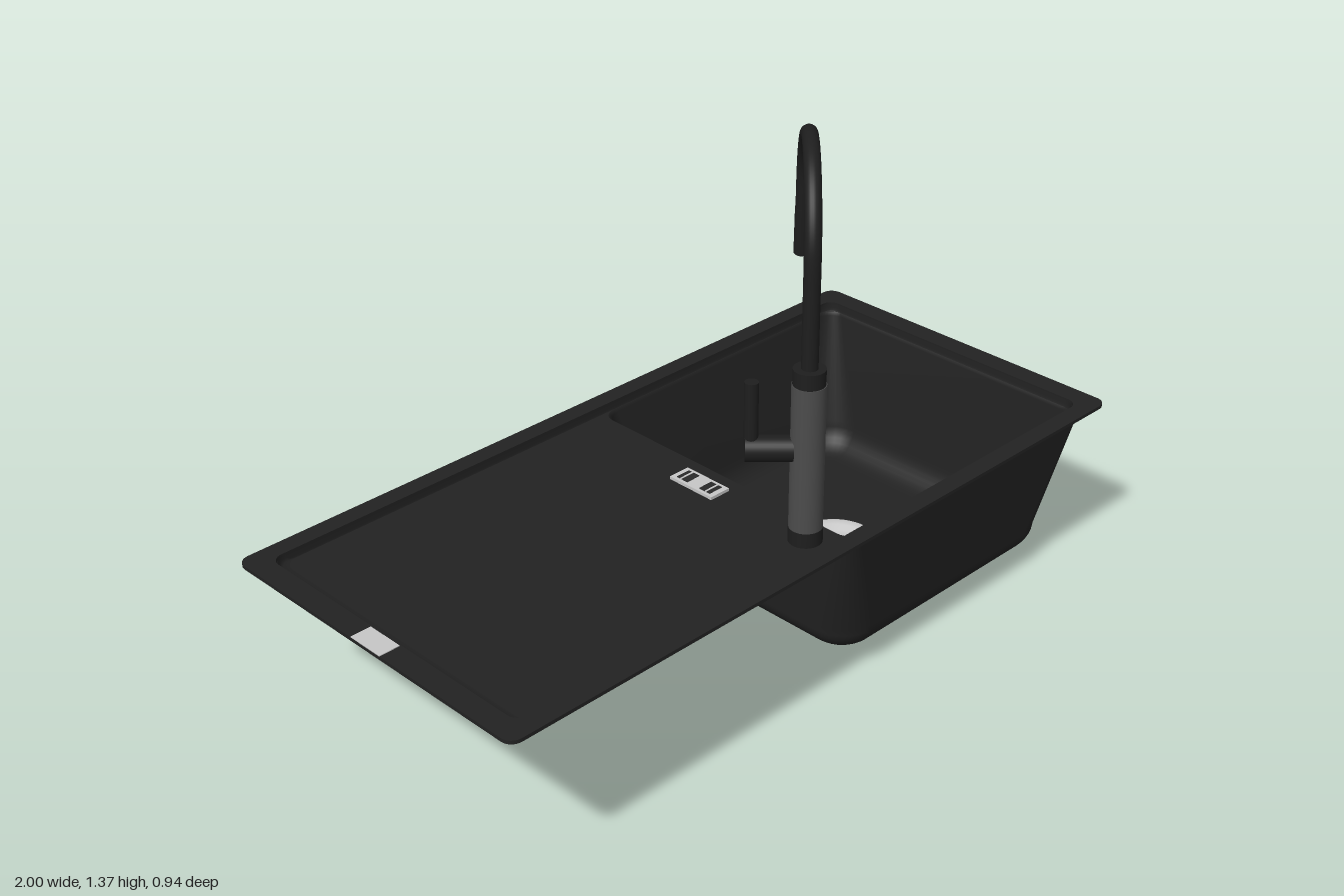
import * as THREE from 'three';

const mat = (name, color, side = THREE.FrontSide) => {
  const m = new THREE.MeshStandardMaterial({ color, side });
  m.name = name;
  return m;
};

// Points of a rounded rectangle in plan, as [x, z]
function ring(x0, x1, hz, r, n = 8) {
  const pts = [];
  const corners = [[x1 - r, hz - r], [x0 + r, hz - r], [x0 + r, -hz + r], [x1 - r, -hz + r]];
  corners.forEach(([cx, cz], q) => {
    for (let i = 0; i <= n; i++) {
      const a = (q + i / n) * Math.PI / 2;
      pts.push([cx + r * Math.cos(a), cz + r * Math.sin(a)]);
    }
  });
  return pts;
}

// Skin through rings listed from the top down; inward turns the faces to the inside
function loft(rings, inward) {
  const pos = [], idx = [], n = rings[0].pts.length;
  rings.forEach(({ pts, y }) => pts.forEach(([x, z]) => pos.push(x, y, z)));
  for (let i = 0; i < rings.length - 1; i++) {
    for (let j = 0; j < n; j++) {
      const a = i * n + j, b = i * n + (j + 1) % n, c = a + n, d = b + n;
      if (inward) idx.push(a, c, b, b, c, d);
      else idx.push(a, b, c, b, d, c);
    }
  }
  const g = new THREE.BufferGeometry();
  g.setAttribute('position', new THREE.Float32BufferAttribute(pos, 3));
  g.setIndex(idx);
  g.computeVertexNormals();
  return g;
}

// Plan outline with a hole, as a shape lying in the ground plane after rotateX
function plan(outer, hole) {
  const v = pts => pts.map(([x, z]) => new THREE.Vector2(x, -z));
  const s = new THREE.Shape(v(outer));
  s.holes.push(new THREE.Path(v(hole)));
  return s;
}

export function createModel() {
  const model = new THREE.Group();
  const sinkMat = mat('sink black', 0x222222, THREE.DoubleSide);
  const tapMat = mat('tap black', 0x1e1e1e);
  const greyMat = mat('tap grey', 0x4c4c4c);
  const steel = mat('steel', 0xc6c6c6, THREE.DoubleSide);
  const slotMat = mat('slot dark', 0x2a2a2a);

  const add = (name, geo, material, x = 0, y = 0, z = 0, parent = model) => {
    const m = new THREE.Mesh(geo, material);
    m.name = name;
    m.position.set(x, y, z);
    parent.add(m);
    return m;
  };
  const cyl = (r0, r1, h, seg = 32) => new THREE.CylinderGeometry(r0, r1, h, seg);

  // Rim
  const t = 0.013;
  const rimGeo = new THREE.ExtrudeGeometry(
    plan(ring(-1, 1, 0.472, 0.03), ring(-0.955 + t, 0.955 - t, 0.437 - t, 0.03)),
    { depth: 0.009, bevelEnabled: false });
  rimGeo.rotateX(-Math.PI / 2);
  add('rim', rimGeo, sinkMat, 0, 0.465, 0);

  // Inner and outer skins of the drainboard and bowl
  for (const inner of [false, true]) {
    const o = inner ? t : 0, side = inner ? 'Inside' : 'Outside';
    const floorY = inner ? 0.45 : 0.437;

    const trayRings = [[0, 0.47], [0.004, floorY + 0.01], [0.012, floorY + 0.003], [0.03, floorY]].map(([e, y]) => ({
      pts: ring(-0.955 + o + e, 0.955 - o - e * 0.05, 0.437 - o - e * 0.05, 0.04), y }));
    add('drainboardWall' + side, loft(trayRings, inner), sinkMat);

    const bowlRing = (e, r, y) => ({ pts: ring(0.058 + o + e, 0.952 - o - e, 0.4345 - o - e, r), y });
    const bowl = [bowlRing(0, 0.04, floorY)];
    if (inner) bowl.push(bowlRing(0.005, 0.045, floorY - 0.008));
    for (let k = 0; k <= 8; k++) {
      const a = k / 8 * Math.PI / 2, f = 1 - Math.cos(a);
      bowl.push(bowlRing(0.045 + 0.08 * f, 0.1 - 0.07 * f, 0.135 + o - 0.079 * Math.sin(a)));
    }
    bowl.push({ pts: ring(0.395, 0.625, 0.115, 0.1149), y: 0.044 + o });
    add('bowl' + side, loft(bowl, inner), sinkMat);

    const floor = new THREE.ShapeGeometry(plan(trayRings[3].pts, bowl[0].pts));
    floor.rotateX(-Math.PI / 2);
    add('drainboardFloor' + side, floor, sinkMat, 0, floorY, 0);
  }

  // Drain
  const drain = new THREE.Group();
  drain.name = 'drain';
  drain.position.set(0.51, 0, 0);
  model.add(drain);
  const lathe = pts => new THREE.LatheGeometry(pts.map(p => new THREE.Vector2(...p)), 48);
  add('drainCollar', lathe([[0.116, 0.046], [0.115, 0.04], [0.1, 0.03], [0.085, 0.03], [0.085, 0.04]]), sinkMat, 0, 0, 0, drain);
  add('strainerDish', lathe([[0, 0.046], [0.06, 0.046], [0.078, 0.05], [0.09, 0.06], [0.108, 0.063], [0.116, 0.059]]), steel, 0, 0, 0, drain);
  add('strainerKnob', cyl(0.014, 0.018, 0.012, 24), steel, 0, 0.052, 0, drain);
  add('strainerUnderside', cyl(0.085, 0.085, 0.004, 40), steel, 0, 0.036, 0, drain);
  add('drainBolt', cyl(0.017, 0.017, 0.036, 20), steel, 0, 0.018, 0, drain);
  for (let i = 0; i < 16; i++) {
    const a = i / 16 * Math.PI * 2;
    // Lower ribs, then every other one a slot above
    const rib = add('undersideSlot', new THREE.BoxGeometry(0.045, 0.002, 0.009), slotMat,
      0.055 * Math.cos(a), 0.0335, 0.055 * Math.sin(a), drain);
    rib.rotation.y = -a;
    if (i % 2) continue;
    const slot = add('strainerSlot', new THREE.BoxGeometry(0.03, 0.002, 0.005), slotMat,
      0.042 * Math.cos(a), 0.0465, 0.042 * Math.sin(a), drain);
    slot.rotation.y = -a;
  }

  // Overflow plate and its openings
  add('overflowPlate', new THREE.BoxGeometry(0.06, 0.008, 0.14), steel, 0, 0.454, 0);
  for (const s of [-1, 1]) {
    add('overflowSlot', new THREE.BoxGeometry(0.042, 0.002, 0.036), slotMat, 0, 0.4582, s * 0.038);
    add('overflowBar', new THREE.BoxGeometry(0.042, 0.002, 0.005), steel, 0, 0.4592, s * 0.042);
  }

  // Label plate on the rim edge
  add('rimPlate', new THREE.BoxGeometry(0.054, 0.002, 0.1), steel, -0.973, 0.475, 0);

  // Tap, turned so that its spout reaches over the bowl along local +x
  const tap = new THREE.Group();
  tap.name = 'tap';
  tap.position.set(0, 0, 0.345);
  tap.rotation.y = Math.PI / 4;
  model.add(tap);
  add('tapBase', cyl(0.041, 0.041, 0.04), tapMat, 0, 0.468, 0, tap);
  add('tapBody', cyl(0.04, 0.04, 0.37), greyMat, 0, 0.672, 0, tap);
  add('tapCollar', cyl(0.038, 0.038, 0.04), tapMat, 0, 0.876, 0, tap);

  // Swan neck: a straight riser, then an arch ending eight degrees off vertical
  const R = 0.206, tilt = 8 * Math.PI / 180, path = [];
  for (let i = 0; i < 5; i++) path.push(new THREE.Vector3(0, 0.89 + i * 0.05, 0));
  for (let i = 0; i <= 20; i++) {
    const a = Math.PI - i / 20 * (Math.PI - tilt);
    path.push(new THREE.Vector3(R + R * Math.cos(a), 1.149 + R * Math.sin(a), 0));
  }
  const end = path[path.length - 1];
  const along = d => new THREE.Vector3(end.x + d * Math.sin(tilt), end.y - d * Math.cos(tilt), 0);
  path.push(along(0.04), along(0.08));
  add('tapNeck', new THREE.TubeGeometry(new THREE.CatmullRomCurve3(path), 90, 0.0195, 20), tapMat, 0, 0, 0, tap);
  const head = along(0.14);
  add('sprayHead', cyl(0.0205, 0.021, 0.125, 24), tapMat, head.x, head.y, 0, tap).rotation.z = tilt;

  // Lever on the side of the body
  add('leverHub', cyl(0.031, 0.031, 0.11), tapMat, 0, 0.692, -0.087, tap).rotation.x = Math.PI / 2;
  add('lever', cyl(0.0165, 0.0165, 0.17, 20), tapMat, 0, 0.777, -0.128, tap);

  return model;
}
